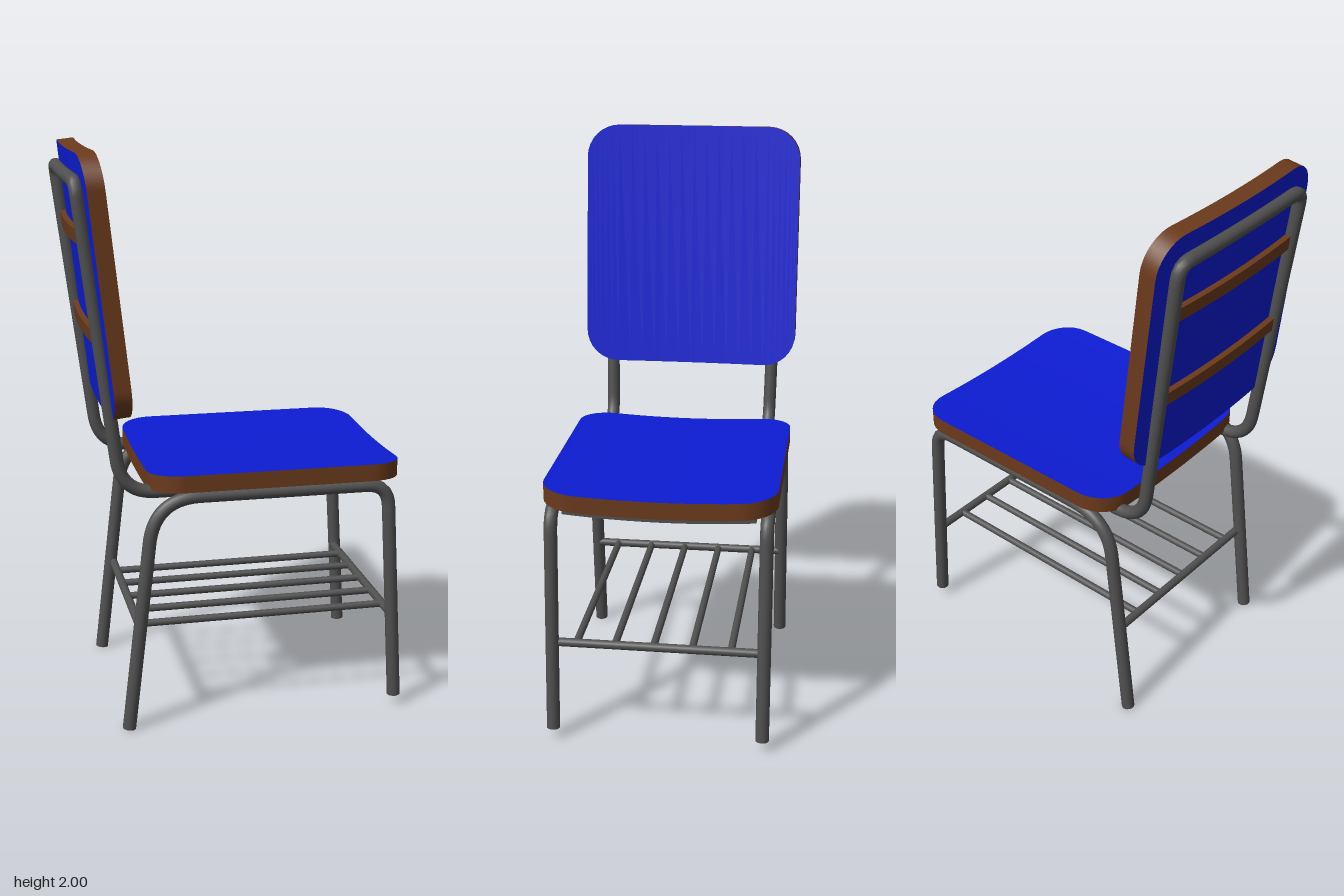
import * as THREE from 'three';
import { mergeGeometries } from 'three/addons/utils/BufferGeometryUtils.js';

const metal = new THREE.MeshStandardMaterial({ color: 0x505050 });
const wood = new THREE.MeshStandardMaterial({ color: 0x6b3a1c });
const fabric = new THREE.MeshStandardMaterial({ color: 0x0d1cd4 });
const V = (x, y, z) => new THREE.Vector3(x, y, z);

function addMesh(parent, name, geometry, material) {
  const mesh = new THREE.Mesh(geometry, material);
  mesh.name = name;
  parent.add(mesh);
  return mesh;
}

// Capped tube through points; cuts[i] is how far the bend starts from corner i
function bentTube(points, cuts, radius, segments) {
  const path = new THREE.CurvePath();
  let from = points[0];
  for (let i = 1; i < points.length - 1; i++) {
    const p = points[i];
    const a = p.clone().add(points[i - 1].clone().sub(p).setLength(cuts[i - 1]));
    const b = p.clone().add(points[i + 1].clone().sub(p).setLength(cuts[i - 1]));
    path.add(new THREE.LineCurve3(from, a));
    path.add(new THREE.QuadraticBezierCurve3(a, p, b));
    from = b;
  }
  path.add(new THREE.LineCurve3(from, points[points.length - 1]));
  const parts = [new THREE.TubeGeometry(path, segments, radius, 14)];
  for (const t of [0, 1]) {
    const dir = path.getTangentAt(t).multiplyScalar(t ? 1 : -1);
    const cap = new THREE.CircleGeometry(radius, 14);
    cap.applyQuaternion(new THREE.Quaternion().setFromUnitVectors(V(0, 0, 1), dir));
    const end = path.getPointAt(t);
    parts.push(cap.translate(end.x, end.y, end.z));
  }
  return mergeGeometries(parts);
}

const rod = (a, b, radius) => bentTube([a, b], [], radius, 1);

function indexed(positions, index) {
  const g = new THREE.BufferGeometry();
  g.setAttribute('position', new THREE.Float32BufferAttribute(positions, 3));
  g.setIndex(index);
  g.computeVertexNormals();
  return g;
}

// Rounded board lying flat, dished across z: padded faces and a wooden rim
function cushion(name) {
  const L = 0.448, W = 0.4, T = 0.03, R = 0.12, sag = 0.018, steps = 8;
  const slices = [];
  for (let i = 0; i <= steps; i++) {
    const a = (i / steps) * Math.PI / 2;
    slices.push([-W + R - R * Math.cos(a), L - R + R * Math.sin(a)]);
  }
  for (let i = 1; i < 12; i++) slices.push([(W - R) * (i / 6 - 1), L]);
  for (let i = steps; i >= 0; i--) slices.push([-slices[i][0], slices[i][1]]);
  const dish = z => -sag * (1 - (z / W) ** 2);

  const face = side => {
    const pos = [], idx = [];
    slices.forEach(([z, half], i) => {
      const y = dish(z) + side * T;
      pos.push(-half, y, z, half, y, z);
      if (!i) return;
      const a = 2 * i - 2, b = a + 1, c = a + 2, d = a + 3;
      if (side > 0) idx.push(a, c, b, b, c, d);
      else idx.push(a, b, c, b, d, c);
    });
    return indexed(pos, idx);
  };

  const outline = [
    ...slices.map(([z, half]) => [half, z]),
    ...slices.slice().reverse().map(([z, half]) => [-half, z]),
  ];
  const pos = [], idx = [], n = outline.length;
  outline.forEach(([x, z], i) => {
    pos.push(x, dish(z) - T, z, x, dish(z) + T, z);
    const a = 2 * i, b = a + 1, c = 2 * ((i + 1) % n), d = c + 1;
    idx.push(a, b, c, b, d, c);
  });

  const group = new THREE.Group();
  group.name = name;
  addMesh(group, name + 'Padding', mergeGeometries([face(1), face(-1)]), fabric);
  addMesh(group, name + 'Rim', indexed(pos, idx), wood);
  return group;
}

// Thin strip bowed across z, in the same way as the cushions
function bowedStrip(width, thickness, halfSpan, bow) {
  const g = new THREE.BoxGeometry(width, thickness, 2 * halfSpan, 1, 1, 12);
  const p = g.attributes.position;
  for (let i = 0; i < p.count; i++) {
    p.setY(i, p.getY(i) - bow * (1 - (p.getZ(i) / halfSpan) ** 2));
  }
  g.computeVertexNormals();
  return g;
}

export function createModel() {
  const chair = new THREE.Group();
  chair.name = 'chair';

  // Seat and backrest share the same board
  const seat = cushion('seat');
  seat.position.set(0.118, 0.896, 0);
  const backrest = cushion('backrest');
  const lean = -Math.PI / 2 + 0.11;
  backrest.position.set(-0.46, 1.557, 0);
  backrest.rotation.z = lean;
  chair.add(seat, backrest);

  // Side frames: rear leg, seat rail and front leg in one bent tube
  for (const [side, z] of [['left', -0.367], ['right', 0.367]]) {
    const pts = [V(-0.416, 0.003, z), V(-0.317, 0.842, z), V(0.511, 0.842, z), V(0.555, 0.04, z)];
    addMesh(chair, side + 'LegFrame', bentTube(pts, [0.16, 0.08], 0.0235, 120), metal);
  }

  // Back frame: one hoop from under the seat, up and over the top
  const half = [V(0.45, 0.85, 0.305), V(-0.42, 0.85, 0.305), V(-0.555, 1.91, 0.322)];
  const mirrored = half.map(p => V(p.x, p.y, -p.z)).reverse();
  const hoop = [...half, V(-0.562, 1.91, 0), ...mirrored];
  addMesh(chair, 'backFrame', bentTube(hoop, [0.12, 0.05, 0.2, 0.05, 0.12], 0.0235, 240), metal);

  // Wooden slats between the back posts
  for (const y of [1.39, 1.72]) {
    const slat = addMesh(chair, 'backSlat', bowedStrip(0.05, 0.02, 0.315, 0.012), wood);
    slat.position.set(-0.49 - (y - 1.39) * 0.115, y, 0);
    slat.rotation.z = lean;
  }

  // Bowed brace under the front of the seat
  const brace = addMesh(chair, 'seatBrace', bowedStrip(0.14, 0.016, 0.33, 0.014), metal);
  brace.position.set(0.43, 0.832, 0);

  // Rack below the seat: two crossbars and five rods
  for (const [x, y] of [[-0.365, 0.358], [0.53, 0.36]]) {
    addMesh(chair, 'rackCrossbar', rod(V(x, y, -0.36), V(x, y, 0.36), 0.015), metal);
  }
  for (let i = 0; i < 5; i++) {
    const z = -0.253 + i * 0.134;
    addMesh(chair, 'rackRod', rod(V(-0.365, 0.358, z), V(0.53, 0.36, z), 0.013), metal);
  }
  return chair;
}
